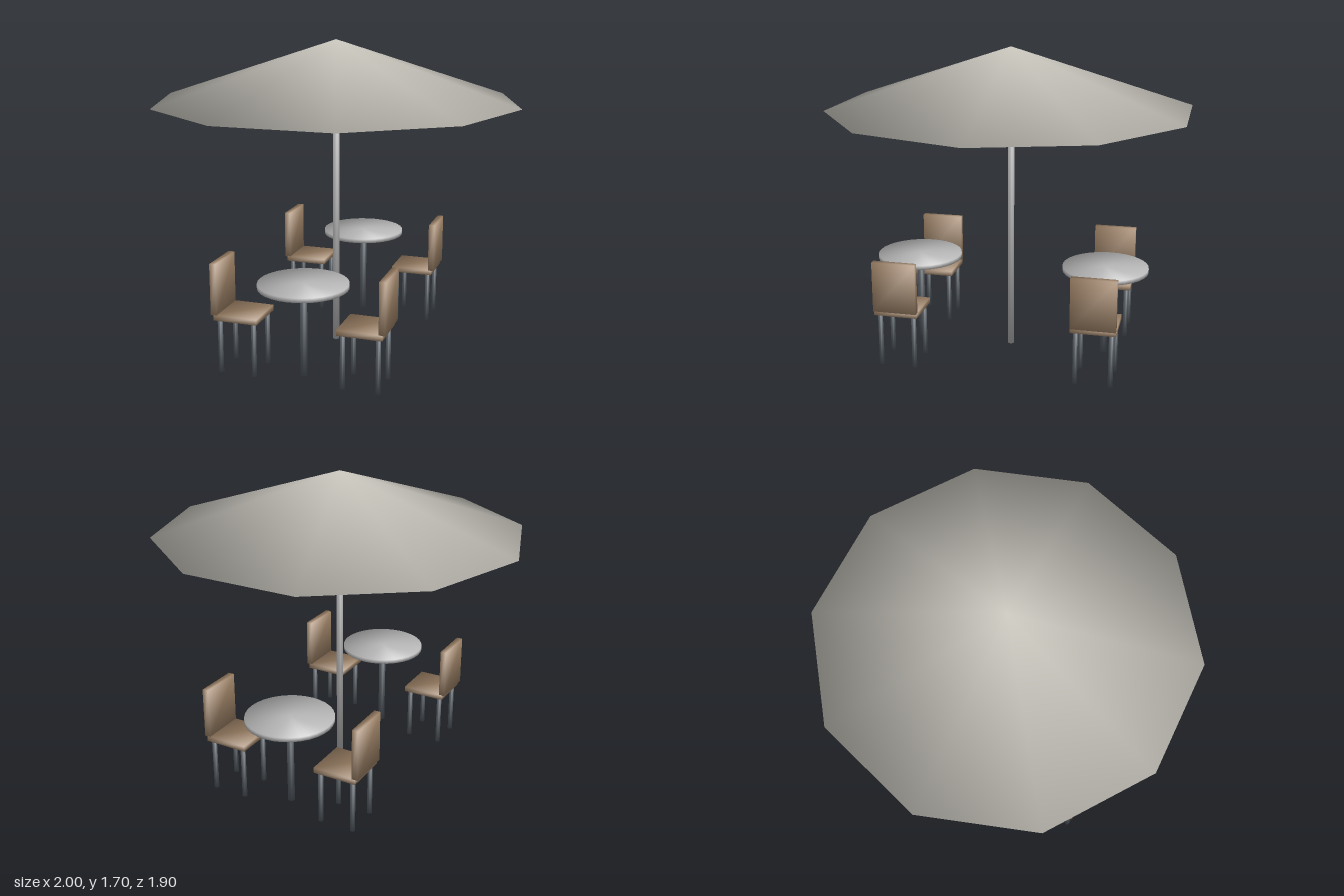
import * as THREE from 'three';
import { mergeVertices } from 'three/addons/utils/BufferGeometryUtils.js';

const paint = (color) => new THREE.MeshStandardMaterial({ color });

// Weld all corners and shade softly across every edge, each face weighted by its corner angle
function soften(source) {
  source.deleteAttribute('uv');
  source.deleteAttribute('normal');
  const geometry = mergeVertices(source);
  geometry.clearGroups();
  const position = geometry.attributes.position;
  const index = geometry.index;
  const normals = Array.from({ length: position.count }, () => new THREE.Vector3());
  for (let f = 0; f < index.count; f += 3) {
    const ids = [0, 1, 2].map((k) => index.getX(f + k));
    const p = ids.map((i) => new THREE.Vector3().fromBufferAttribute(position, i));
    const faceNormal = new THREE.Triangle(...p).getNormal(new THREE.Vector3());
    ids.forEach((id, k) => {
      const a = p[(k + 1) % 3].clone().sub(p[k]);
      const b = p[(k + 2) % 3].clone().sub(p[k]);
      normals[id].addScaledVector(faceNormal, a.angleTo(b));
    });
  }
  const flat = normals.flatMap((n) => n.normalize().toArray());
  geometry.setAttribute('normal', new THREE.Float32BufferAttribute(flat, 3));
  return geometry;
}

export function createModel() {
  const canvas = paint(0xcfccc3);
  const metal = paint(0xb8b8b8);
  const wood = paint(0xa08468);
  const darkMetal = paint(0x545c63);

  const add = (parent, name, geometry, material, x, y, z) => {
    const mesh = new THREE.Mesh(soften(geometry), material);
    mesh.name = name;
    mesh.position.set(x, y, z);
    parent.add(mesh);
  };

  // Upright cylinder standing between two heights
  const post = (parent, name, radius, y0, y1, material, x = 0, z = 0, sides = 16) =>
    add(parent, name, new THREE.CylinderGeometry(radius, radius, y1 - y0, sides),
      material, x, (y0 + y1) / 2, z);

  // Chair centred on its seat, with its back on the +x side
  const chair = (name) => {
    const group = new THREE.Group();
    group.name = name;
    add(group, 'seat', new THREE.BoxGeometry(0.24, 0.03, 0.24), wood, 0, 0.308, 0);
    add(group, 'backrest', new THREE.BoxGeometry(0.034, 0.278, 0.24), wood, 0.118, 0.46, 0);
    for (const x of [-1, 1]) {
      for (const z of [-1, 1]) {
        post(group, 'chairLeg', 0.0135, 0, 0.293, darkMetal, x * 0.094, z * 0.094, 12);
      }
    }
    return group;
  };

  const model = new THREE.Group();
  model.name = 'parasolWithTables';

  // Ten-sided closed canopy, corners on the x axis
  add(model, 'canopy', new THREE.ConeGeometry(1, 0.331, 10, 1, false, Math.PI / 2),
    canvas, 0, 1.5375, 0);
  post(model, 'pole', 0.018, 0, 1.375, metal);

  // A table with two facing chairs in front of and behind the pole
  for (const side of [1, -1]) {
    const set = new THREE.Group();
    set.name = side > 0 ? 'frontTableSet' : 'backTableSet';
    set.position.z = side * 0.535;
    post(set, 'tableTop', 0.238, 0.486, 0.51, metal, 0, 0, 32);
    post(set, 'tableLeg', 0.019, 0, 0.487, darkMetal);

    const left = chair('leftChair');
    left.position.x = 0.335;
    const right = chair('rightChair');
    right.position.x = -0.335;
    right.rotation.y = Math.PI;
    set.add(left, right);
    model.add(set);
  }
  return model;
}
